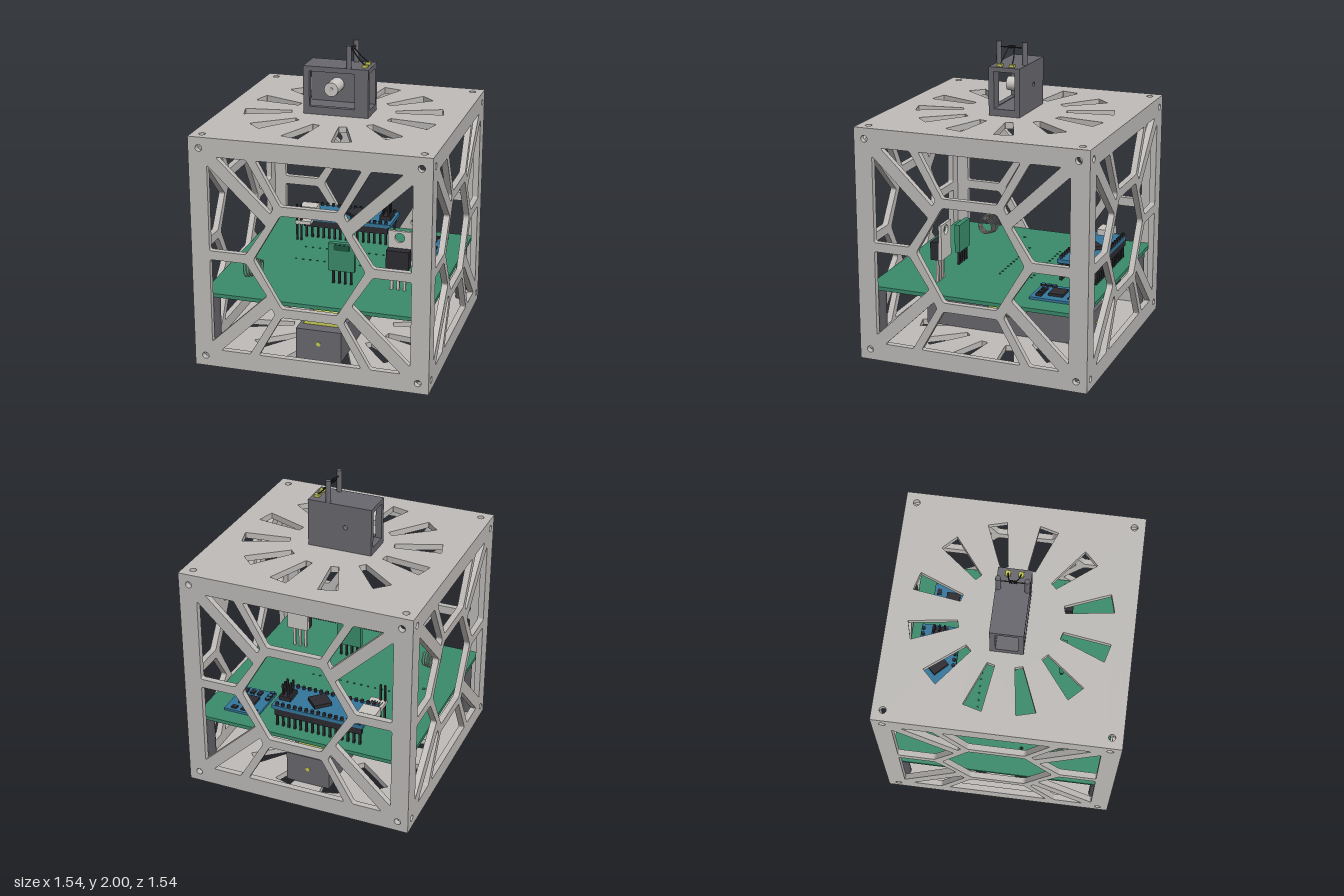
import * as THREE from 'three';

const mat = (name, color) => {
  const m = new THREE.MeshStandardMaterial({ color });
  m.name = name;
  return m;
};

export function createModel() {
  const model = new THREE.Group();
  const M = {
    frame: mat('frameGrey', 0xbfbcb9), dark: mat('darkGrey', 0x68686e), post: mat('postGrey', 0x56565c),
    green: mat('boardGreen', 0x3a8b6c), via: mat('viaGreen', 0x1f5541), blue: mat('moduleBlue', 0x33779c),
    black: mat('black', 0x2b2b31), metal: mat('metal', 0xcbc8c4), yellow: mat('yellow', 0xc6cb55),
  };

  const group = (name, parent = model) => {
    const g = new THREE.Group();
    g.name = name;
    parent.add(g);
    return g;
  };
  const add = (parent, name, geo, m, x = 0, y = 0, z = 0) => {
    const mesh = new THREE.Mesh(geo, m);
    mesh.name = name;
    mesh.position.set(x, y, z);
    parent.add(mesh);
    return mesh;
  };
  // box given by its limits on each axis
  const box = (parent, name, m, [x0, x1], [y0, y1], [z0, z1]) =>
    add(parent, name, new THREE.BoxGeometry(x1 - x0, y1 - y0, z1 - z0), m, (x0 + x1) / 2, (y0 + y1) / 2, (z0 + z1) / 2);
  const rod = (parent, name, m, r, h, x, y, z, seg = 16) =>
    add(parent, name, new THREE.CylinderGeometry(r, r, h, seg), m, x, y, z);
  const tube = (parent, name, m, pts, r, n) =>
    add(parent, name, new THREE.TubeGeometry(new THREE.CatmullRomCurve3(pts), n, r, 6), m);
  const V = (x, y, z) => new THREE.Vector3(x, y, z);

  // ---------- frame panels ----------
  const T = 0.04;
  const roundPath = (pts, r) => {
    const path = new THREE.Path();
    pts.forEach((p, i) => {
      const c = new THREE.Vector2(...p);
      const toward = (q) => c.clone().add(new THREE.Vector2(...q).sub(c).setLength(r));
      const a = toward(pts[(i + pts.length - 1) % pts.length]);
      const b = toward(pts[(i + 1) % pts.length]);
      if (i) path.lineTo(a.x, a.y); else path.moveTo(a.x, a.y);
      path.quadraticCurveTo(c.x, c.y, b.x, b.y);
    });
    path.closePath();
    return path;
  };
  const circle = (x, y, r) => new THREE.Path().absarc(x, y, r, 0, Math.PI * 2, true);
  const rect = (x0, x1, y0, y1) =>
    new THREE.Shape([[x0, y0], [x1, y0], [x1, y1], [x0, y1]].map((p) => new THREE.Vector2(...p)));
  const plate = (shape, holes, depth) => {
    shape.holes = holes;
    return new THREE.ExtrudeGeometry(shape, { depth, bevelEnabled: false, curveSegments: 8 })
      .translate(0, 0, -depth / 2);
  };

  const screwHoles = () => [-1, 1].flatMap((a) => [-1, 1].map((b) => circle(0.7 * a, 0.7 * b, 0.022)));
  const lattice = () => {
    const holes = [roundPath([[0.36, 0], [0.18, 0.31], [-0.18, 0.31], [-0.36, 0], [-0.18, -0.31], [0.18, -0.31]], 0.02)];
    for (const sy of [-1, 1]) {
      holes.push(roundPath([[-0.335, 0.65], [0.335, 0.65], [0.18, 0.37], [-0.18, 0.37]].map(([x, y]) => [x, y * sy]), 0.015));
      for (const sx of [-1, 1]) {
        const flip = (pts) => pts.map(([x, y]) => [x * sx, y * sy]);
        holes.push(roundPath(flip([[0.59, 0.65], [0.395, 0.65], [0.225, 0.355], [0.245, 0.315]]), 0.012));
        holes.push(roundPath(flip([[0.65, 0.595], [0.275, 0.235], [0.41, 0.03], [0.65, 0.03]]), 0.015));
      }
    }
    return holes;
  };
  const slots = () => Array.from({ length: 12 }, (_, i) => {
    const a = Math.PI / 12 + (i * Math.PI) / 6, c = Math.cos(a), s = Math.sin(a);
    return roundPath([[0.335, -0.025], [0.64, -0.062], [0.64, 0.062], [0.335, 0.025]]
      .map(([u, v]) => [u * c - v * s, u * s + v * c]), 0.004);
  });

  const frame = group('frame');
  for (const s of [-1, 1]) {
    const face = plate(rect(-0.77, 0.77, -0.77, 0.77), [...lattice(), ...screwHoles()], T);
    add(frame, s > 0 ? 'frontPanel' : 'backPanel', face, M.frame, 0, 0.77, s * (0.77 - T / 2));
    const side = plate(rect(-0.73, 0.73, -0.77, 0.77), [...lattice(), ...screwHoles()], T).rotateY(Math.PI / 2);
    add(frame, s > 0 ? 'leftPanel' : 'rightPanel', side, M.frame, s * (0.77 - T / 2), 0.77, 0);
    const lid = plate(rect(-0.73, 0.73, -0.73, 0.73), [...slots(), ...screwHoles()], T).rotateX(-Math.PI / 2);
    add(frame, s > 0 ? 'topPanel' : 'bottomPanel', lid, M.frame, 0, 0.77 + s * (0.77 - T / 2), 0);
  }

  // ---------- circuit board on four posts ----------
  const board = group('circuitBoard');
  const viaHole = [circle(-0.535, -0.135, 0.011)];
  add(board, 'boardPlate', plate(rect(-0.725, 0.725, -0.725, 0.725), viaHole, 0.025).rotateX(-Math.PI / 2), M.green, 0, 0.477, 0);
  for (const x of [-1, 1]) for (const z of [-1, 1]) rod(board, 'supportPost', M.post, 0.036, 0.425, 0.665 * x, 0.2525, 0.665 * z, 24);
  for (let i = 0; i < 12; i++) {
    for (const z of [-0.2, 0.02]) rod(board, 'via', M.via, 0.008, 0.004, -0.33 + i * 0.05, 0.491, z, 8);
  }

  // ---------- battery and holder ----------
  const battery = group('battery');
  add(battery, 'cell', new THREE.CylinderGeometry(0.138, 0.138, 1, 40).rotateX(Math.PI / 2), M.yellow, 0, 0.195, 0);
  box(battery, 'holderFloor', M.dark, [-0.15, 0.15], [T, 0.065], [-0.58, 0.58]);
  const wall = new THREE.Shape([[-0.58, T], [0.58, T], [0.58, 0.25], [0.138, 0.25], [0.138, 0.165],
    [-0.138, 0.165], [-0.138, 0.25], [-0.58, 0.25]].map((p) => new THREE.Vector2(...p)));
  for (const s of [-1, 1]) {
    add(battery, 'holderSide', plate(wall, [], 0.025).rotateY(Math.PI / 2), M.dark, s * 0.138, 0, 0);
    box(battery, 'holderEnd', M.dark, [-0.13, 0.13], [T, 0.25], s > 0 ? [0.5, 0.58] : [-0.58, -0.5]);
    add(battery, 'contact', new THREE.CylinderGeometry(0.015, 0.015, 0.006, 16).rotateX(Math.PI / 2), M.yellow, 0, 0.155, s * 0.581);
  }

  // ---------- raised controller module ----------
  const ctrl = group('controllerModule');
  box(ctrl, 'controllerBoard', M.blue, [-0.41, 0.22], [0.615, 0.64], [-0.645, -0.375]);
  for (const z of [-0.63, -0.392]) {
    box(ctrl, 'header', M.black, [-0.4, 0.2], [0.57, 0.615], [z - 0.015, z + 0.015]);
    for (let i = 0; i < 15; i++) {
      const x = -0.385 + i * 0.0408;
      box(ctrl, 'pin', M.black, [x - 0.007, x + 0.007], [0.485, 0.57], [z - 0.007, z + 0.007]);
      rod(ctrl, 'pinTip', M.black, 0.012, 0.022, x, 0.648, z, 8);
    }
  }
  const chip = box(ctrl, 'chip', M.black, [-0.12, 0], [0.645, 0.668], [-0.57, -0.45]);
  chip.rotation.y = Math.PI / 4;
  for (const x of [0.14, 0.18]) for (const z of [-0.55, -0.515, -0.48]) {
    box(ctrl, 'programmingPin', M.black, [x - 0.006, x + 0.006], [0.64, 0.75], [z - 0.006, z + 0.006]);
  }
  box(ctrl, 'programmingBase', M.black, [0.12, 0.2], [0.64, 0.67], [-0.57, -0.46]);
  box(ctrl, 'socket', M.metal, [-0.46, -0.34], [0.625, 0.68], [-0.56, -0.46]);

  // small radio module beside the controller
  const radio = group('radioModule');
  box(radio, 'radioPlate', M.metal, [-0.44, -0.33], [0.61, 0.635], [-0.425, -0.3]);
  const zig = Array.from({ length: 10 }, (_, i) => V(-0.425 + i * 0.0088, 0.638, i % 2 ? -0.41 : -0.34));
  tube(radio, 'antennaTrace', M.post, zig, 0.003, 60);
  for (const x of [-0.43, -0.4]) box(radio, 'radioPin', M.black, [x - 0.006, x + 0.006], [0.485, 0.75], [-0.32, -0.308]);

  // ---------- flat module on the board ----------
  const flat = group('flatModule');
  box(flat, 'flatBoard', M.blue, [0.34, 0.58], [0.488, 0.505], [-0.61, -0.32]);
  box(flat, 'largeChip', M.black, [0.41, 0.52], [0.505, 0.522], [-0.52, -0.425]);
  for (let i = 0; i < 3; i++) {
    rod(flat, 'capacitor', M.black, 0.018, 0.014, 0.36, 0.51, -0.41 + i * 0.038, 14);
    rod(flat, 'capacitorTop', M.blue, 0.013, 0.004, 0.36, 0.517, -0.41 + i * 0.038, 14);
    box(flat, 'smallChip', M.black, [0.42 + i * 0.05, 0.45 + i * 0.05], [0.505, 0.518], [-0.39, -0.35]);
    box(flat, 'smallChip', M.black, [0.36 + i * 0.07, 0.4 + i * 0.07], [0.505, 0.515], [-0.59, -0.56]);
  }

  // ---------- power regulator ----------
  const reg = group('regulator');
  box(reg, 'regulatorBody', M.black, [0.385, 0.535], [0.645, 0.765], [0.305, 0.372]);
  const tab = rect(-0.077, 0.077, -0.12, 0.115);
  add(reg, 'regulatorTab', plate(tab, [circle(0, 0.07, 0.032)], 0.02), M.metal, 0.46, 0.765, 0.303);
  for (const x of [0.418, 0.46, 0.502]) box(reg, 'regulatorLeg', M.metal, [x - 0.009, x + 0.009], [0.485, 0.645], [0.33, 0.345]);

  // ---------- upright sensor plate ----------
  const sensor = group('sensorPlate');
  box(sensor, 'sensorBody', M.green, [0, 0.175], [0.58, 0.77], [0.325, 0.36]);
  add(sensor, 'sensorSlot', plate(roundPathShape(), [], 0.006), M.via, 0.09, 0.742, 0.361);
  for (const x of [0.03, 0.07, 0.11, 0.15]) box(sensor, 'sensorLeg', M.black, [x - 0.007, x + 0.007], [0.485, 0.58], [0.335, 0.35]);

  function roundPathShape() {
    const outer = new THREE.Shape(roundPath([[-0.052, -0.02], [0.052, -0.02], [0.052, 0.02], [-0.052, 0.02]], 0.01).getPoints(4));
    return outer;
  }

  // ---------- antenna spring ----------
  const helix = Array.from({ length: 97 }, (_, i) => {
    const a = (i / 16) * Math.PI * 2, r = 0.068 - 0.0002 * i;
    return V(-0.545 + i * 0.0011, 0.562 + r * Math.cos(a), 0.4 + r * Math.sin(a));
  });
  tube(model, 'spring', M.metal, helix, 0.004, 200);

  // ---------- unit on top ----------
  const top = group('topUnit');
  box(top, 'unitFloor', M.dark, [-0.24, 0.19], [1.54, 1.585], [-0.105, 0.105]);
  box(top, 'unitRoof', M.dark, [-0.24, 0.19], [1.825, 1.855], [-0.105, 0.105]);
  add(top, 'unitBack', plate(rect(-0.24, 0.19, 1.585, 1.825), [circle(-0.065, 1.705, 0.015)], 0.035), M.dark, 0, 0, -0.0875);
  add(top, 'unitFront', plate(rect(-0.24, 0.19, 1.585, 1.825), [new THREE.Path(rect(-0.2, 0.1, 1.59, 1.822).getPoints())], 0.035), M.dark, 0, 0, 0.0875);
  const roller = new THREE.CylinderGeometry(0.046, 0.046, 0.14, 24).rotateX(Math.PI / 2);
  add(top, 'roller', roller, M.metal, -0.065, 1.7, 0);
  add(top, 'rollerHub', new THREE.CylinderGeometry(0.014, 0.014, 0.006, 12).rotateX(Math.PI / 2), M.frame, -0.065, 1.7, 0.071);

  // two masts, a coil between them, and its leads
  for (const s of [-1, 1]) {
    rod(top, 'mast', M.dark, 0.017, 0.15, 0.057, 1.925, s * 0.088, 20);
    box(top, 'solderPad', M.yellow, [0.135, 0.168], [1.855, 1.872], s > 0 ? [0.024, 0.056] : [-0.056, -0.024]);
    tube(top, 'lead', M.black, [V(0.152, 1.868, s * 0.04), V(0.11, 1.905, s * 0.034), V(0.06, 1.965, s * 0.02)], 0.004, 12);
    tube(top, 'coilEnd', M.black, [V(0.057, 1.965, s * 0.088), V(0.057, 1.962, s * 0.05), V(0.057, 1.965, s * 0.02)], 0.004, 8);
  }
  const coil = Array.from({ length: 41 }, (_, i) => V(0.057 + 0.009 * Math.sin(i * 0.785), 1.965 + 0.009 * Math.cos(i * 0.785), -0.025 + i * 0.00125));
  tube(top, 'coil', M.black, coil, 0.003, 80);

  return model;
}
